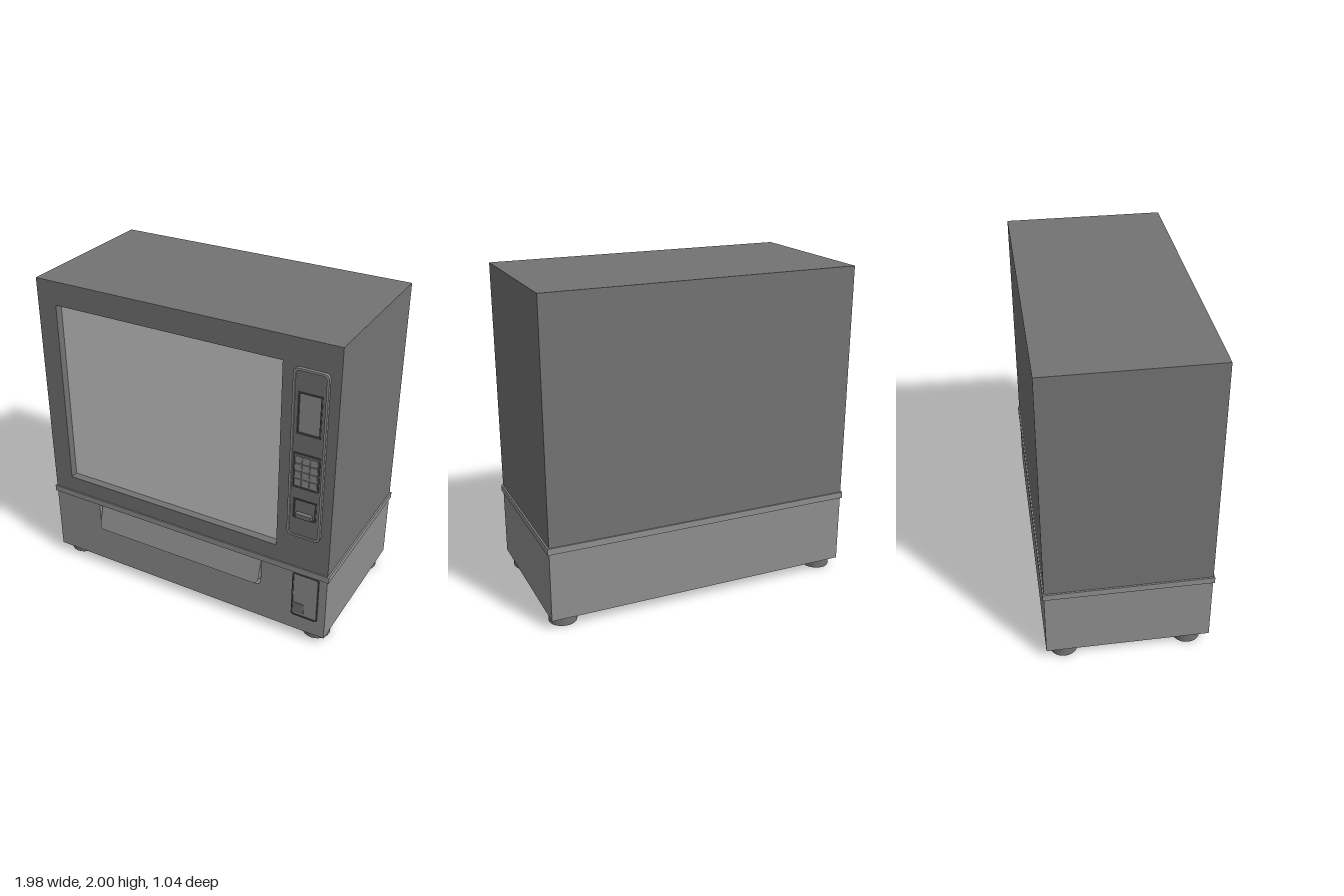
import * as THREE from 'three';
import { mergeGeometries } from 'three/addons/utils/BufferGeometryUtils.js';

const FRONT = 0.49, BACK = -0.51, LEFT = 0.977, RIGHT = -0.98;
const DARK = 0x737373, MID = 0x8f8f8f, LIGHT = 0xc4c4c4, BLACK = 0x4c4c4c;

const mat = (color) => new THREE.MeshStandardMaterial({ color, flatShading: true });

// Rectangle outline with separate top and bottom corner radii
function rect(x0, x1, y0, y1, rb = 0, rt = rb, Type = THREE.Shape) {
  const s = new Type();
  s.moveTo(x0 + rb, y0).lineTo(x1 - rb, y0);
  if (rb) s.quadraticCurveTo(x1, y0, x1, y0 + rb);
  s.lineTo(x1, y1 - rt);
  if (rt) s.quadraticCurveTo(x1, y1, x1 - rt, y1);
  s.lineTo(x0 + rt, y1);
  if (rt) s.quadraticCurveTo(x0, y1, x0, y1 - rt);
  s.lineTo(x0, y0 + rb);
  if (rb) s.quadraticCurveTo(x0, y0, x0 + rb, y0);
  return s;
}

const extrude = (shape, z0, z1) =>
  new THREE.ExtrudeGeometry(shape, { depth: z1 - z0, bevelEnabled: false, curveSegments: 6 }).translate(0, 0, z0);

function block(x0, x1, y0, y1, z0, z1) {
  return new THREE.BoxGeometry(x1 - x0, y1 - y0, z1 - z0)
    .translate((x0 + x1) / 2, (y0 + y1) / 2, (z0 + z1) / 2);
}

// Box whose front face has an opening leading into a shallow recess
function recessedCabinet(y0, y1, opening, depth) {
  const box = block(RIGHT, LEFT, y0, y1, BACK, FRONT);
  const index = Array.from(box.index.array);
  index.splice(24, 6); // front face is replaced by the pierced one
  box.setIndex(index);
  const face = rect(RIGHT, LEFT, y0, y1);
  face.holes.push(opening);
  const front = new THREE.ShapeGeometry(face, 6).translate(0, 0, FRONT);
  const floor = new THREE.ShapeGeometry(new THREE.Shape(opening.getPoints(6)), 6)
    .translate(0, 0, FRONT - depth);

  // Inward-facing walls around the opening
  const pts = opening.getPoints(6), pos = [], uv = [];
  pts.forEach((a, i) => {
    const b = pts[(i + 1) % pts.length], zb = FRONT - depth;
    if (a.distanceTo(b) < 1e-6) return;
    pos.push(a.x, a.y, FRONT, b.x, b.y, FRONT, b.x, b.y, zb,
      a.x, a.y, FRONT, b.x, b.y, zb, a.x, a.y, zb);
    uv.push(0, 0, 1, 0, 1, 1, 0, 0, 1, 1, 0, 1);
  });
  const walls = new THREE.BufferGeometry();
  walls.setAttribute('position', new THREE.Float32BufferAttribute(pos, 3));
  walls.setAttribute('uv', new THREE.Float32BufferAttribute(uv, 2));
  walls.computeVertexNormals();
  return mergeGeometries([box.toNonIndexed(), front.toNonIndexed(), floor.toNonIndexed(), walls]);
}

export function createModel() {
  const root = new THREE.Group();
  root.name = 'vendingMachine';
  const add = (name, geo, color, parent = root) => {
    const m = new THREE.Mesh(geo, mat(color));
    m.name = name;
    parent.add(m);
    return m;
  };
  const hole = (x0, x1, y0, y1, r) => rect(x0, x1, y0, y1, r, r, THREE.Path);

  // Upper cabinet with its display window
  add('upperCabinet', recessedCabinet(0.52, 2, hole(-0.85, 0.64, 0.645, 1.85), 0.055), DARK);
  add('displayWindow', block(-0.85, 0.64, 0.645, 1.85, 0.425, 0.44), LIGHT);

  // Trim band between the two cabinets
  add('trimBand', block(-0.99, 0.987, 0.497, 0.537, -0.518, 0.498), MID);

  // Lower cabinet with the delivery opening
  const tray = rect(-0.64, 0.545, 0.303, 0.497, 0.04, 0, THREE.Path);
  add('lowerCabinet', recessedCabinet(0.065, 0.51, tray, 0.05), MID);

  // Tilted delivery flap: the front face leans outwards towards the bottom
  const flap = extrude(rect(-0.63, 0.535, 0.325, 0.497, 0.035, 0), 0, 1);
  const p = flap.attributes.position;
  for (let i = 0; i < p.count; i++) {
    p.setZ(i, p.getZ(i) < 0.5 ? 0.442 : 0.466 + (0.497 - p.getY(i)) * 0.3);
  }
  flap.computeVertexNormals();
  add('deliveryFlap', flap, MID);

  // Control panel: raised rim around a pierced plate
  const panel = new THREE.Group();
  panel.name = 'controlPanel';
  root.add(panel);
  const rim = rect(0.71, 0.917, 0.765, 1.837, 0.035);
  rim.holes.push(hole(0.724, 0.903, 0.779, 1.823, 0.026));
  add('panelRim', extrude(rim, FRONT, 0.508), MID, panel);

  const plate = rect(0.724, 0.903, 0.779, 1.823, 0.026);
  plate.holes.push(hole(0.747, 0.88, 1.447, 1.693), hole(0.747, 0.88, 0.9, 1.018));
  add('panelPlate', extrude(plate, FRONT, 0.502), DARK, panel);

  // Thin dark frames around the panel fittings
  const frame = (name, x0, x1, y0, y1, t, z) => {
    const s = rect(x0, x1, y0, y1);
    s.holes.push(hole(x0 + t, x1 - t, y0 + t, y1 - t));
    add(name, extrude(s, FRONT, z), BLACK, panel);
  };
  frame('screenFrame', 0.741, 0.886, 1.441, 1.699, 0.009, 0.505);
  frame('keypadFrame', 0.731, 0.893, 1.096, 1.324, 0.01, 0.507);
  frame('slotFrame', 0.741, 0.886, 0.892, 1.025, 0.009, 0.505);
  add('smallScreen', block(0.747, 0.88, 1.447, 1.693, FRONT, 0.494), MID, panel);
  add('cardSlot', block(0.747, 0.88, 0.9, 1.018, FRONT, 0.494), DARK, panel);
  add('slotLip', block(0.764, 0.862, 0.905, 0.932, FRONT, 0.52), DARK, panel);

  // Keypad: three columns by four rows
  for (let c = 0; c < 3; c++) {
    for (let r = 0; r < 4; r++) {
      const x = 0.745 + c * 0.048, y = 1.115 + r * 0.049;
      add('key', block(x, x + 0.039, y, y + 0.041, 0.5, 0.507), MID, panel);
    }
  }

  // Coin return: thin raised frame, plate and a small dark flap
  const coinFrame = rect(0.757, 0.927, 0.174, 0.492, 0.018);
  coinFrame.holes.push(hole(0.765, 0.919, 0.182, 0.484, 0.013));
  add('coinReturnFrame', extrude(coinFrame, FRONT, 0.498), BLACK);
  add('coinReturnPlate', extrude(rect(0.765, 0.919, 0.182, 0.484, 0.013), FRONT, 0.493), MID);
  add('coinReturnFlap', block(0.765, 0.838, 0.197, 0.27, FRONT, 0.496), DARK);

  // Four round feet
  for (const x of [-0.888, 0.877]) {
    for (const z of [0.365, -0.398]) {
      const foot = add('foot', new THREE.CylinderGeometry(0.086, 0.086, 0.066, 24), DARK);
      foot.position.set(x, 0.033, z);
    }
  }
  return root;
}
